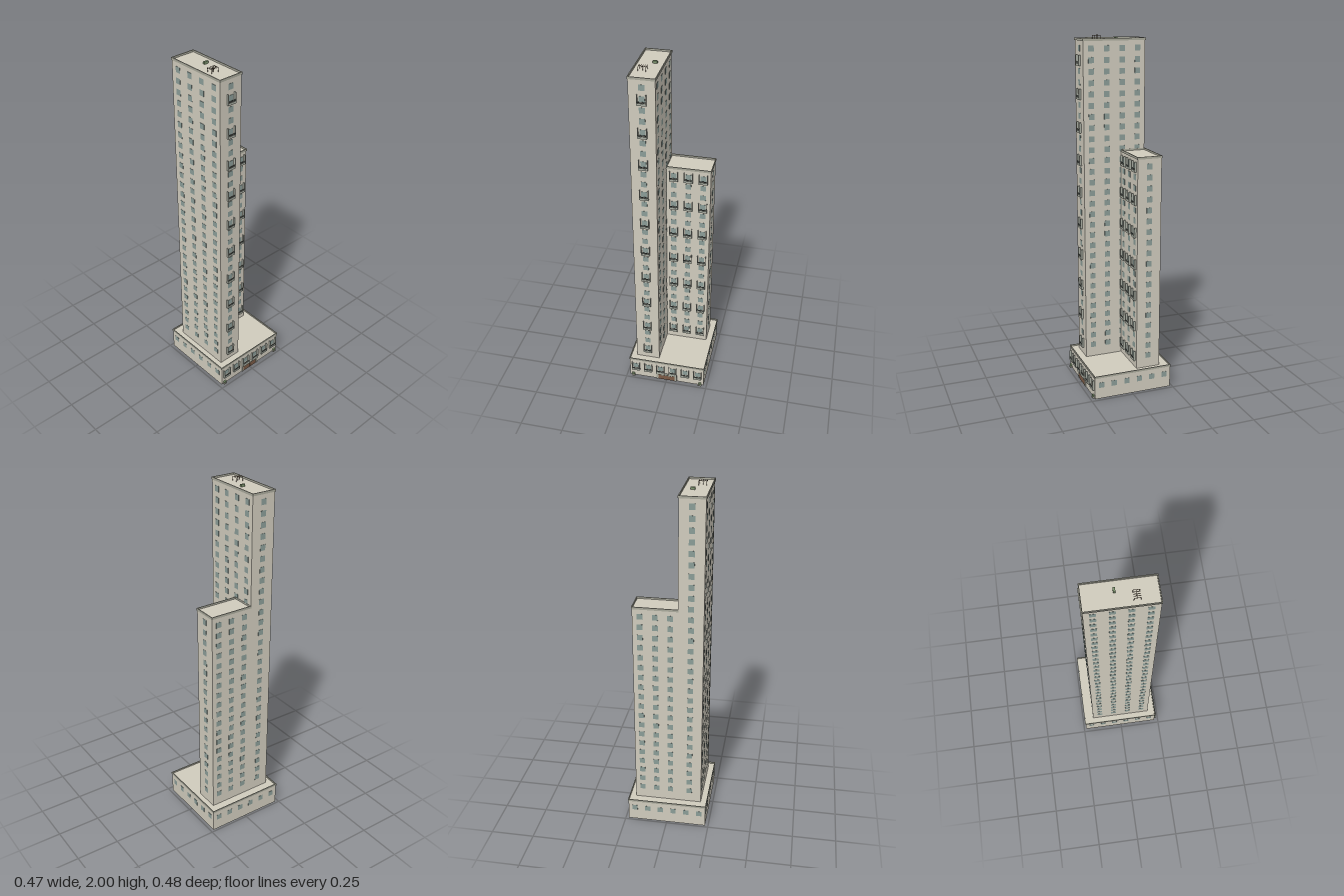
import * as THREE from 'three';
import { mergeGeometries } from 'three/addons/utils/BufferGeometryUtils.js';

const mat = (color) => new THREE.MeshStandardMaterial({ color, flatShading: true });
const wallMat = mat(0xd0cbbd), trimMat = mat(0xa9a99b), glassMat = mat(0x8a9c97);
const balconyMat = mat(0xa8ada2), railMat = mat(0x4a5350), doorMat = mat(0x7a5a45);
const unitMat = mat(0x7f966f), antennaMat = mat(0x6a5a48);

const FLOOR = 0.0618; // storey height

// Box given by its min and max corners
function box(x0, x1, y0, y1, z0, z1) {
  return new THREE.BoxGeometry(x1 - x0, y1 - y0, z1 - z0)
    .translate((x0 + x1) / 2, (y0 + y1) / 2, (z0 + z1) / 2);
}

function add(group, name, geometries, material) {
  const mesh = new THREE.Mesh(mergeGeometries(geometries), material);
  mesh.name = name;
  group.add(mesh);
}

// Raised rim around a flat roof, slightly overhanging the walls
function rim(b, height) {
  const o = 0.003, t = 0.005, y0 = b.y1 - 0.003, y1 = b.y1 + height;
  const X0 = b.x0 - o, X1 = b.x1 + o, Z0 = b.z0 - o, Z1 = b.z1 + o;
  return [
    box(X0, X1, y0, y1, Z0, Z0 + t), box(X0, X1, y0, y1, Z1 - t, Z1),
    box(X0, X0 + t, y0, y1, Z0 + t, Z1 - t), box(X1 - t, X1, y0, y1, Z0 + t, Z1 - t),
  ];
}

// Evenly spaced column centres along a wall
const columns = (a, b, n) => Array.from({ length: n }, (_, i) => a + (b - a) * (i + 0.5) / n);

// Window panes on all four walls of a block
function windows(b, rows, nx, nz, y0) {
  const out = [], h = 0.016, d = 0.001;
  for (let r = 0; r < rows; r++) {
    const y = y0 + r * FLOOR;
    for (const x of columns(b.x0, b.x1, nx))
      for (const z of [b.z0, b.z1]) out.push(box(x - h, x + h, y - h, y + h, z - d, z + d));
    for (const z of columns(b.z0, b.z1, nz))
      for (const x of [b.x0, b.x1]) out.push(box(x - d, x + d, y - h, y + h, z - h, z + h));
  }
  return out;
}

// Balcony: floor, two tall side screens and a low front, plus dark rails
function balcony(x, y, z, floors, rails) {
  const w = 0.025, d = 0.012, bottom = y - 0.032;
  floors.push(
    box(x - w, x + w, bottom, bottom + 0.005, z, z + d),
    box(x - w, x - w + 0.003, bottom, y + 0.027, z, z + d),
    box(x + w - 0.003, x + w, bottom, y + 0.027, z, z + d),
    box(x - w, x + w, bottom, bottom + 0.013, z + d - 0.002, z + d));
  for (const h of [0.015, 0.02])
    rails.push(box(x - w, x + w, bottom + h, bottom + h + 0.002, z + d - 0.002, z + d));
}

// Complete block: walls, rim, windows and balconies every third storey
function block(name, b, o) {
  const g = new THREE.Group();
  g.name = name;
  add(g, name + 'Walls', [box(b.x0, b.x1, b.y0, b.y1, b.z0, b.z1)], wallMat);
  add(g, name + 'RoofRim', rim(b, o.rim), trimMat);
  add(g, name + 'Windows', windows(b, o.rows, o.nx, o.nz, o.firstY), glassMat);
  const floors = [], rails = [];
  for (let r = 0; r < o.rows; r += 3)
    for (const x of columns(b.x0, b.x1, o.nx)) balcony(x, o.firstY + r * FLOOR, b.z1, floors, rails);
  add(g, name + 'Balconies', floors, balconyMat);
  add(g, name + 'BalconyRails', rails, railMat);
  return g;
}

export function createModel() {
  const model = new THREE.Group();
  model.name = 'towerBlock';

  // Podium, tall tower and lower wing
  model.add(
    block('podium', { x0: -0.231, x1: 0.231, y0: 0, y1: 0.129, z0: -0.237, z1: 0.225 },
      { rows: 1, nx: 6, nz: 6, firstY: 0.082, rim: 0.009 }),
    block('tower', { x0: -0.196, x1: -0.056, y0: 0.125, y1: 1.976, z0: -0.182, z1: 0.18 },
      { rows: 29, nx: 1, nz: 4, firstY: 0.202, rim: 0.01 }),
    block('wing', { x0: -0.056, x1: 0.195, y0: 0.125, y1: 1.36, z0: -0.182, z1: -0.041 },
      { rows: 19, nx: 3, nz: 1, firstY: 0.202, rim: 0.01 }));

  // Entrance: double door, frame posts and canopy
  const entrance = new THREE.Group();
  entrance.name = 'entrance';
  add(entrance, 'doors', [box(-0.052, -0.001, 0, 0.042, 0.224, 0.228),
    box(0.001, 0.05, 0, 0.042, 0.224, 0.228)], doorMat);
  add(entrance, 'canopy', [box(-0.064, 0.064, 0.043, 0.049, 0.224, 0.236),
    box(-0.064, -0.054, 0, 0.043, 0.224, 0.23),
    box(0.052, 0.064, 0, 0.043, 0.224, 0.23)], trimMat);
  add(entrance, 'transom', [box(-0.034, 0.034, 0.034, 0.042, 0.226, 0.23)], glassMat);
  model.add(entrance);

  // Small planters at the front corners
  const planters = [], plants = [];
  for (const x of [-0.209, 0.209]) {
    planters.push(box(x - 0.011, x + 0.011, 0, 0.01, 0.224, 0.237));
    plants.push(box(x - 0.008, x + 0.008, 0.01, 0.019, 0.225, 0.235));
  }
  add(model, 'planters', planters, trimMat);
  add(model, 'plants', plants, unitMat);

  // Roof equipment: vent unit and aerial with five rods
  add(model, 'roofUnit', [box(-0.118, -0.094, 1.975, 1.989, -0.032, -0.021)], unitMat);
  const aerial = [box(-0.167, -0.125, 1.9965, 1.9985, 0.0715, 0.0735),
    box(-0.147, -0.144, 1.975, 1.9965, 0.071, 0.074)];
  for (let i = 0; i < 5; i++) {
    const x = -0.166 + i * 0.0102;
    aerial.push(box(x - 0.001, x + 0.001, 1.998, 2, 0.055, 0.09));
  }
  for (const z of [0.056, 0.088])
    for (const x of [-0.166, -0.1252])
      aerial.push(box(x - 0.001, x + 0.001, 1.975, 1.998, z - 0.001, z + 0.001));
  add(model, 'aerial', aerial, antennaMat);

  return model;
}
